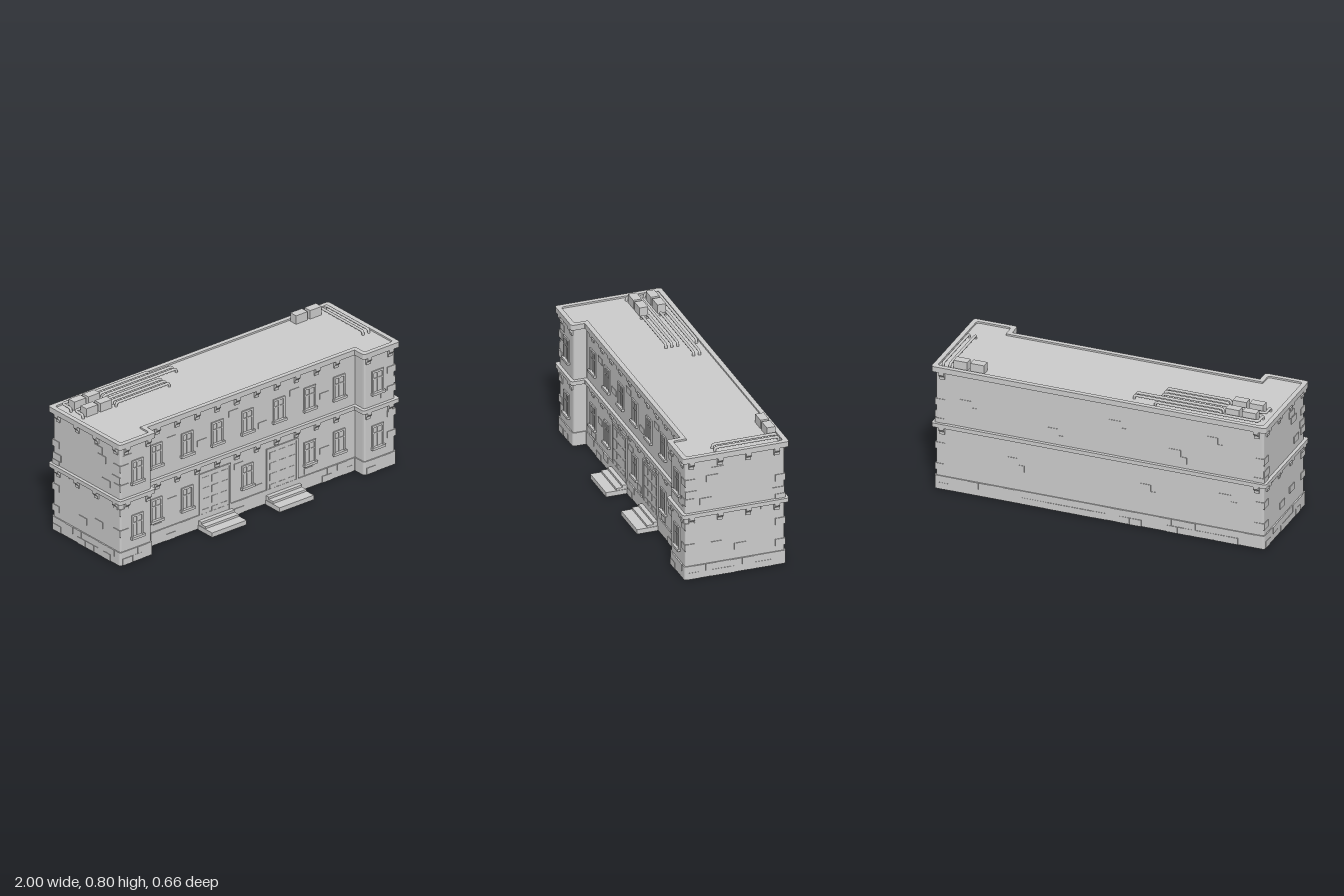
import * as THREE from 'three';

const mat = new THREE.MeshStandardMaterial({ color: 0xcccccc, flatShading: true });
const smooth = new THREE.MeshStandardMaterial({ color: 0xcccccc });

// Angles of the four facades
const FRONT = 0, RIGHT = Math.PI / 2, BACK = Math.PI, LEFT = -Math.PI / 2;

// Footprint with two projecting end wings, grown by o, corners cut by c
function footprint(o, c, Type = THREE.Shape) {
  const X = 0.98 + o, W = 0.76 - o, B = 0.308 + o, F = -0.28 - o, M = -0.2 - o;
  const pts = [[-X, F], [-W, F], [-W, M], [W, M], [W, F], [X, F], [X, B], [-X, B]]
    .map(p => new THREE.Vector2(...p));
  const shape = new Type();
  pts.forEach((p, i) => {
    const prev = pts[(i + 7) % 8], next = pts[(i + 1) % 8];
    const cut = i === 2 || i === 3 ? 0.003 : c;
    const a = p.clone().add(prev.clone().sub(p).setLength(cut));
    const b = p.clone().add(next.clone().sub(p).setLength(cut));
    if (i === 0) shape.moveTo(a.x, a.y); else shape.lineTo(a.x, a.y);
    shape.quadraticCurveTo(p.x, p.y, b.x, b.y);
  });
  shape.closePath();
  return shape;
}

// Slab or ring following the footprint
function storey(name, y0, y1, outer, inner, c = 0.013) {
  const shape = footprint(outer, c);
  if (inner !== null) shape.holes.push(footprint(inner, c, THREE.Path));
  const geo = new THREE.ExtrudeGeometry(shape, { depth: y1 - y0, bevelEnabled: false, curveSegments: 3 });
  geo.rotateX(-Math.PI / 2).translate(0, y0, 0);
  const mesh = new THREE.Mesh(geo, mat);
  mesh.name = name;
  return mesh;
}

function box(name, w, h, d, x, y, z) {
  const mesh = new THREE.Mesh(new THREE.BoxGeometry(w, h, d), mat);
  mesh.position.set(x, y, z);
  mesh.name = name;
  return mesh;
}

// Stand an object on a facade: u runs along the wall, local z points outward
function place(obj, side, u, y) {
  const dist = side === FRONT ? (Math.abs(u) > 0.76 ? 0.28 : 0.2) : side === BACK ? 0.308 : 0.98;
  const s = Math.sin(side), c = Math.cos(side);
  obj.position.set(s * dist + c * u, y, c * dist - s * u);
  obj.rotation.y = side;
  return obj;
}

function brick(side, u, y, w = 0.07, h = 0.04, out = 0.004, name = 'wallBrick') {
  const holder = new THREE.Group();
  holder.name = name;
  holder.add(box(name, w, h, 0.03, 0, 0, out - 0.015));
  return place(holder, side, u, y);
}

// Casement with frame, glazing bars and sill
function makeWindow() {
  const g = new THREE.Group();
  g.name = 'window';
  g.add(box('pane', 0.07, 0.12, 0.022, 0, 0.07, -0.01));
  for (const s of [-1, 1]) g.add(box('jamb', 0.011, 0.13, 0.03, s * 0.036, 0.072, -0.008));
  g.add(box('head', 0.083, 0.013, 0.03, 0, 0.134, -0.008));
  g.add(box('mullion', 0.008, 0.12, 0.014, 0, 0.07, -0.002));
  g.add(box('transom', 0.07, 0.007, 0.014, 0, 0.09, -0.002));
  g.add(box('sill', 0.095, 0.015, 0.036, 0, 0.0, -0.001));
  return g;
}

// Wide doorway with rows of panels and three steps
function makeEntrance() {
  const g = new THREE.Group();
  g.name = 'entrance';
  g.add(box('door', 0.22, 0.29, 0.03, 0, 0.19, -0.012));
  for (const s of [-1, 1]) g.add(box('doorJamb', 0.012, 0.285, 0.03, s * 0.106, 0.192, -0.008));
  g.add(box('doorHead', 0.224, 0.012, 0.03, 0, 0.331, -0.008));
  for (const x of [-0.066, 0, 0.066])
    for (let r = 0; r < 4; r++)
      g.add(box('doorPanel', 0.046, 0.042, 0.01, x, 0.09 + r * 0.066, 0));
  [[0.13, 0.0, 0.028], [0.068, 0.028, 0.041], [0.031, 0.041, 0.054]].forEach(([d, y0, y1], i) =>
    g.add(box('step', i ? 0.238 : 0.245, y1 - y0, d, 0, (y0 + y1) / 2, d / 2)));
  return g;
}

// Stepped bracket hung below a cornice, top at local y = 0
const bracketShape = new THREE.Shape([[-0.004, 0], [0.02, 0], [0.02, -0.015], [0.008, -0.029],
  [0.008, -0.045], [-0.004, -0.045]].map(p => new THREE.Vector2(...p)));
const bracketGeo = new THREE.ExtrudeGeometry(bracketShape, { depth: 0.03, bevelEnabled: false });
bracketGeo.translate(0, 0, -0.015).rotateY(-Math.PI / 2);
function makeBracket() {
  const mesh = new THREE.Mesh(bracketGeo, mat);
  mesh.name = 'bracket';
  return mesh;
}

// Roof pipe through [x, z] points, both ends turned down into the roof
function pipe(points) {
  const top = points.map(([x, z]) => new THREE.Vector3(x, 0.774, z));
  const down = p => p.clone().setY(0.745);
  const pts = [down(top[0]), ...top, down(top[top.length - 1])];
  const path = new THREE.CurvePath();
  let last = pts[0];
  for (let i = 1; i < pts.length - 1; i++) {
    const p = pts[i];
    const a = p.clone().add(pts[i - 1].clone().sub(p).setLength(0.018));
    const b = p.clone().add(pts[i + 1].clone().sub(p).setLength(0.018));
    path.add(new THREE.LineCurve3(last, a));
    path.add(new THREE.QuadraticBezierCurve3(a, p, b));
    last = b;
  }
  path.add(new THREE.LineCurve3(last, pts[pts.length - 1]));
  const mesh = new THREE.Mesh(new THREE.TubeGeometry(path, 100, 0.008, 8, false), smooth);
  mesh.name = 'roofPipe';
  return mesh;
}

export function createModel() {
  const model = new THREE.Group();
  model.name = 'building';
  let seed = 7;
  const rand = () => (seed = (seed * 16807) % 2147483647) / 2147483647;

  // Shell, open underneath
  model.add(storey('plinth', 0.004, 0.085, 0.006, -0.012));
  model.add(storey('walls', 0.08, 0.74, 0, -0.012));
  model.add(storey('middleCornice', 0.388, 0.412, 0.02, -0.012, 0.018));
  model.add(storey('roofCornice', 0.73, 0.762, 0.02, -0.008, 0.018));
  model.add(storey('roof', 0.735, 0.752, -0.004, null));

  // Brackets under both cornices
  const frontBrackets = [-0.94, -0.785, 0.785, 0.94];
  for (let i = 0; i < 10; i++) frontBrackets.push(-0.655 + i * 0.142);
  for (const y of [0.73, 0.39]) {
    frontBrackets.forEach(u => model.add(place(makeBracket(), FRONT, u, y)));
    for (const z of [0.245, 0.077, -0.09, -0.258]) {
      model.add(place(makeBracket(), RIGHT, -z, y));
      model.add(place(makeBracket(), LEFT, z, y));
    }
    for (const u of [-0.94, 0.94]) model.add(place(makeBracket(), BACK, u, y));
  }

  // Windows and entrances
  const columns = [-0.86, -0.66, -0.44, -0.225, -0.01, 0.215, 0.435, 0.645, 0.855];
  columns.forEach((u, i) => {
    model.add(place(makeWindow(), FRONT, u, 0.488));
    if (i !== 3 && i !== 5) model.add(place(makeWindow(), FRONT, u, 0.15));
  });
  for (const u of [-0.243, 0.238]) model.add(place(makeEntrance(), FRONT, u, 0));

  // Two courses of uneven plinth stones
  const runs = [[FRONT, -0.97, -0.77], [FRONT, -0.74, -0.38], [FRONT, -0.11, 0.1], [FRONT, 0.375, 0.74],
    [FRONT, 0.77, 0.97], [RIGHT, -0.27, 0.3], [LEFT, -0.3, 0.27], [BACK, -0.97, 0.97]];
  for (const [side, from, to] of runs)
    for (let row = 0; row < 2; row++)
      for (let u = from + 0.035 + row * 0.035; u < to - 0.034; u += 0.072)
        if (rand() < 0.6)
          model.add(brick(side, u, 0.024 + row * 0.041, 0.068, 0.04, 0.007 + rand() * 0.003, 'plinthStone'));

  // Exposed bricks on the end walls
  for (const [z, y] of [[0.09, 0.655], [0.122, 0.609], [0.245, 0.527], [0.16, 0.473], [-0.27, 0.462],
    [-0.2, 0.385], [0.096, 0.193], [-0.044, 0.16]]) {
    model.add(brick(RIGHT, -z, y));
    model.add(brick(LEFT, z, y));
  }

  // Stepped pairs of bricks on the back wall
  for (const [x, y] of [[0.28, 0.49], [-0.67, 0.62], [0.8, 0.56], [0.52, 0.26], [-0.27, 0.25],
    [-0.09, 0.61], [-0.75, 0.28], [-0.45, 0.5]]) {
    model.add(brick(BACK, -x, y, 0.07, 0.04, 0.003));
    model.add(brick(BACK, -x + 0.035, y - 0.04, 0.07, 0.04, 0.003));
  }

  // Loose bricks between the front windows
  for (const [u, y] of [[-0.55, 0.62], [-0.335, 0.53], [-0.11, 0.64], [0.1, 0.5], [0.325, 0.63], [0.54, 0.54],
    [-0.55, 0.24], [-0.07, 0.3], [0.06, 0.12], [0.54, 0.2], [0.43, 0.11], [-0.65, 0.11], [0.91, 0.46], [-0.93, 0.66]])
    model.add(brick(FRONT, u, y, 0.065, 0.036, 0.003));

  // Corner stones
  for (const y of [0.2, 0.33, 0.48, 0.6])
    for (const s of [-1, 1]) {
      model.add(box('cornerStone', 0.06, 0.04, 0.06, s * 0.954, y, 0.254));
      model.add(box('cornerStone', 0.06, 0.04, 0.06, s * 0.954, y - 0.06, -0.281));
    }

  // Roof units
  for (const [x, z] of [[-0.87, -0.23], [-0.77, -0.23], [-0.87, -0.125], [-0.77, -0.125], [0.74, -0.265], [0.84, -0.265]])
    model.add(box('roofUnit', 0.082, 0.055, 0.05, x, 0.777, z));

  // Roof pipes
  [[[-0.935, -0.205], [-0.935, -0.28], [-0.32, -0.28]], [[-0.935, -0.1], [-0.935, -0.17], [-0.32, -0.17]],
    [[-0.7, -0.245], [-0.18, -0.245]], [[-0.7, -0.21], [-0.18, -0.21]],
    [[-0.7, -0.135], [-0.32, -0.135]], [[-0.7, -0.1], [-0.32, -0.1]],
    [[0.905, -0.285], [0.905, 0.093]], [[0.945, -0.285], [0.945, 0.093]]].forEach(p => model.add(pipe(p)));

  return model;
}
